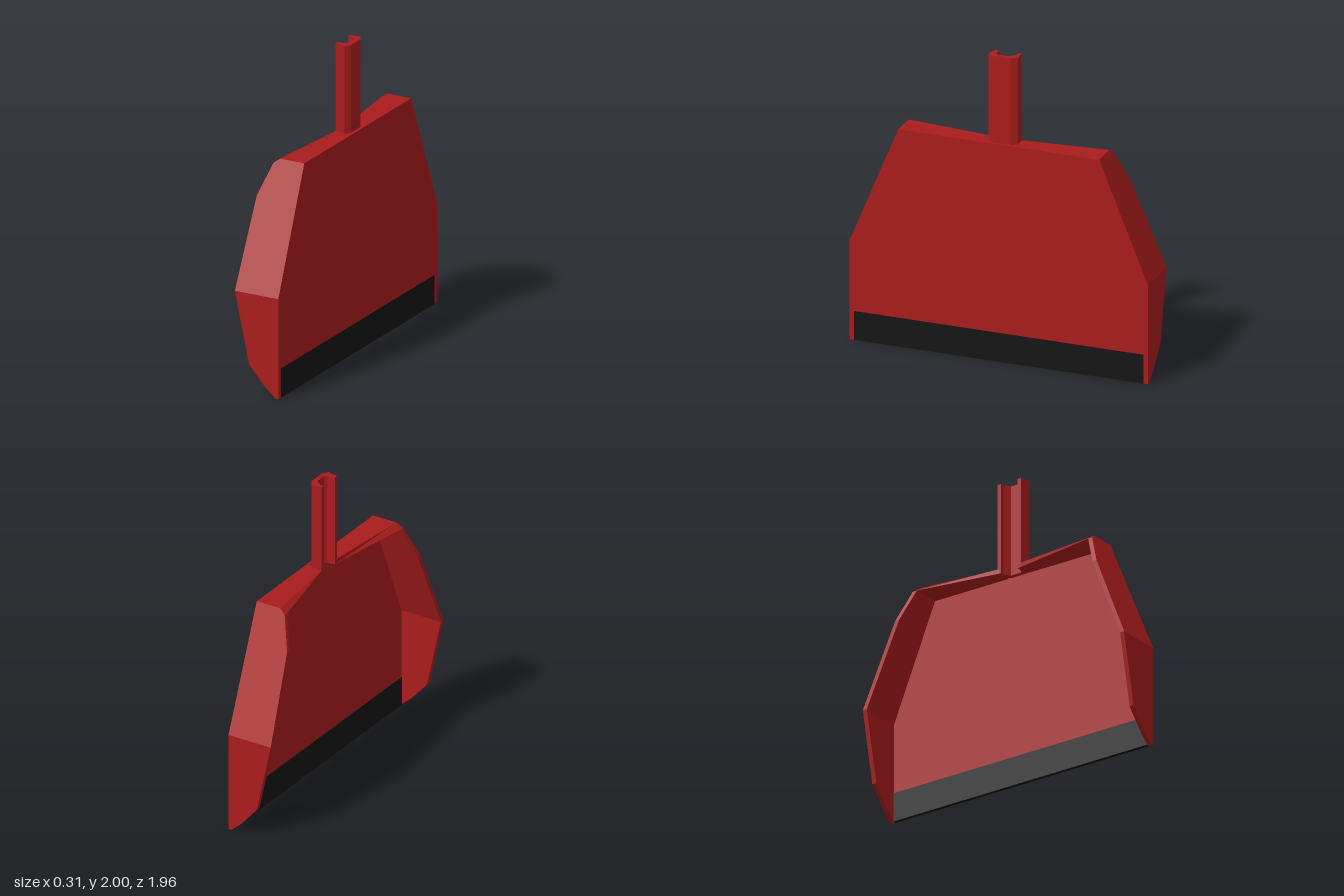
import * as THREE from 'three';

const red = new THREE.MeshStandardMaterial({ color: 0xaa1c1c, flatShading: true });
const black = new THREE.MeshStandardMaterial({ color: 0x141414, flatShading: true });

// Half width of the pan at a given height
const halfWidth = (y) => (y <= 0.65 ? 0.98 : 0.98 - (0.32 * (y - 0.65)) / 0.78);

function extrude(points, depth) {
  const shape = new THREE.Shape(points.map(([x, y]) => new THREE.Vector2(x, y)));
  return new THREE.ExtrudeGeometry(shape, { depth, bevelEnabled: false });
}

// Move every vertex by a rule
function warp(geometry, rule) {
  const p = geometry.attributes.position;
  for (let i = 0; i < p.count; i++) p.setXYZ(i, ...rule(p.getX(i), p.getY(i), p.getZ(i)));
  geometry.computeVertexNormals();
  return geometry;
}

export function createModel() {
  const model = new THREE.Group();
  const add = (name, geometry, material = red) => {
    const mesh = new THREE.Mesh(geometry, material);
    mesh.name = name;
    model.add(mesh);
  };

  // Flat floor of the pan
  const floor = extrude([
    [-0.95, 0.19], [0.95, 0.19], [0.95, 0.65], [0.63, 1.43], [-0.63, 1.43], [-0.95, 0.65],
  ], 0.02);
  add('panFloor', floor.rotateY(Math.PI / 2).translate(0.13, 0, 0));

  // Rubber lip along the sweeping edge
  add('rubberLip', new THREE.BoxGeometry(0.025, 0.19, 1.9).translate(0.1375, 0.095, 0), black);

  // Side walls, bent inwards above the widest point
  const lower = [[0.15, 0], [0.15, 0.65], [-0.155, 0.65], [-0.055, 0.19], [0.06, 0.06], [0.13, 0]];
  const upper = [[0.15, 0.65], [0.15, 1.43], [-0.02, 1.43], [-0.06, 1.4], [-0.13, 1.2], [-0.155, 0.65]];
  for (const side of [1, -1]) {
    const label = side > 0 ? 'left' : 'right';
    for (const [part, profile] of [['Lower', lower], ['Upper', upper]]) {
      add(`${label}${part}Wall`, warp(extrude(profile, 0.03), (x, y, z) =>
        [x, y, side > 0 ? halfWidth(y) - 0.03 + z : -halfWidth(y) + z]));
    }

    // End wall half: deep at the corner, shallow beside the handle, chamfered rim
    const inner = side > 0 ? 0.06 : 0.09;
    add(`${label}EndWall`, warp(new THREE.BoxGeometry(1, 1, 1), (x, y, z) => {
      const outer = z * side > 0;
      const rim = outer ? (y > 0 ? -0.02 : -0.06) : 0.035;
      return [x > 0 ? 0.13 : rim, y > 0 ? 1.43 : 1.4, side * (outer ? 0.645 : inner)];
    }));
  }

  // Hollow channel handle, open towards the inside of the pan
  const channel = [
    [0.035, -0.105], [0.105, -0.11], [0.13, -0.07], [0.13, 0.05], [0.105, 0.085], [0.035, 0.07],
    [0.035, 0.045], [0.085, 0.04], [0.1, 0.025], [0.1, -0.05], [0.06, -0.08], [0.035, -0.08],
  ].map(([x, z]) => [x, -z]);
  add('handle', extrude(channel, 0.6).rotateX(-Math.PI / 2).translate(0, 1.4, 0));

  return model;
}
